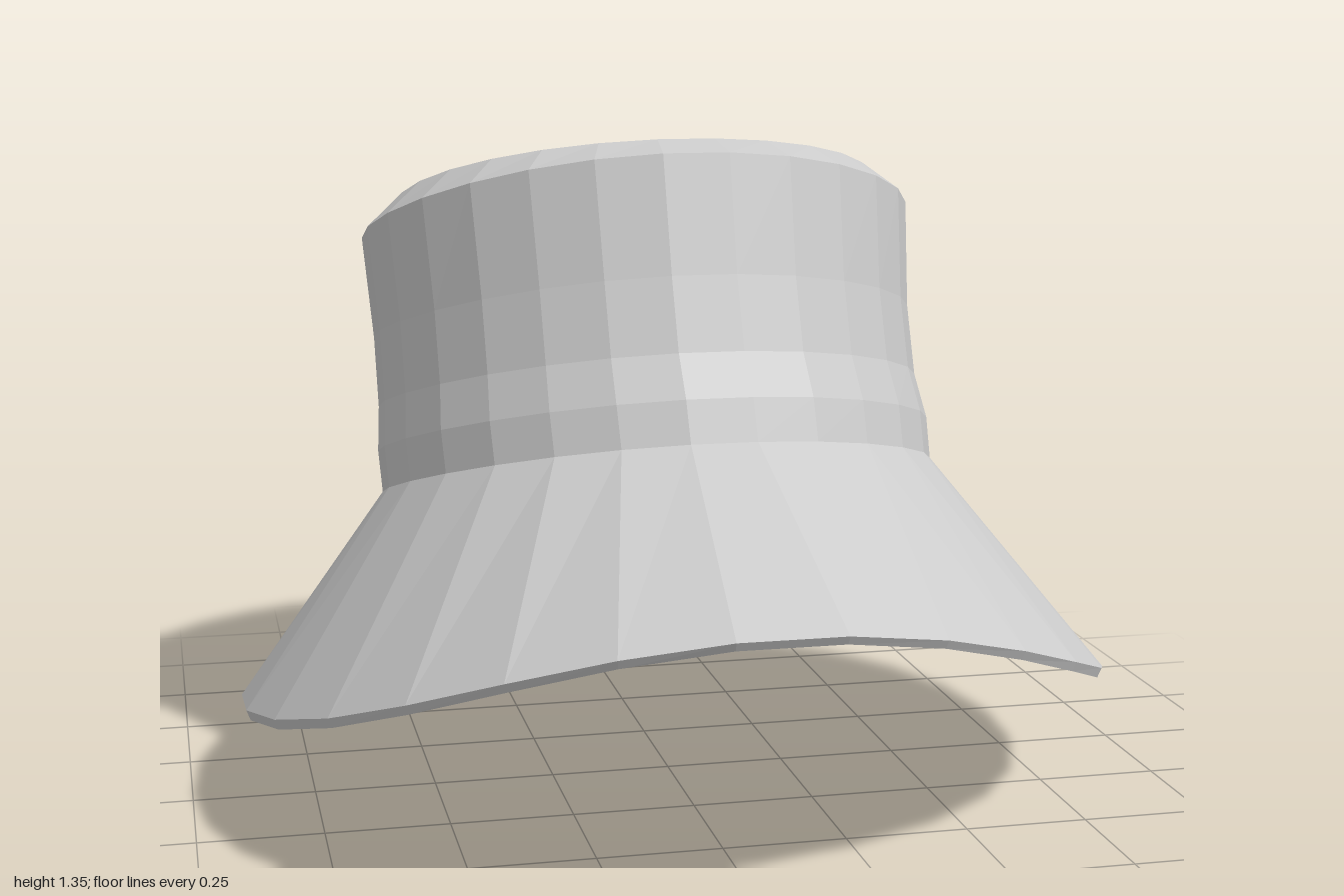
import * as THREE from 'three';

const SEGMENTS = 28;

// A tilted oval ring: front and back points as [z, y], left and right x,
// plus a bend (c² and c³ terms) that lets the sides droop.
function ring(front, back, xMin, xMax, droop = 0, twist = 0) {
  const cx = (xMin + xMax) / 2, rx = (xMax - xMin) / 2;
  const cz = (front[0] + back[0]) / 2, rz = (front[0] - back[0]) / 2;
  const cy = (front[1] + back[1]) / 2, ry = (front[1] - back[1]) / 2;
  const points = [];
  for (let i = 0; i < SEGMENTS; i++) {
    const a = ((i + 0.5) / SEGMENTS) * Math.PI * 2;
    const s = Math.sin(a) * 1.006, c = Math.cos(a) * 1.006;
    const y = cy + ry * c - droop * (1 - c * c) - twist * (c - c * c * c);
    points.push(new THREE.Vector3(cx + rx * s, y, cz + rz * c));
  }
  return points;
}

// Skin a list of rings, ordered from bottom to top for outward faces.
function loft(rings, capped = false) {
  const position = [], index = [];
  rings.forEach((r) => r.forEach((p) => position.push(p.x, p.y, p.z)));
  for (let j = 0; j < rings.length - 1; j++) {
    for (let i = 0; i < SEGMENTS; i++) {
      const k = (i + 1) % SEGMENTS;
      const a = j * SEGMENTS + i, b = j * SEGMENTS + k;
      index.push(a, b, b + SEGMENTS, a, b + SEGMENTS, a + SEGMENTS);
    }
  }
  if (capped) {
    const start = (rings.length - 1) * SEGMENTS;
    for (let i = 1; i < SEGMENTS - 1; i++) index.push(start, start + i, start + i + 1);
  }
  const geometry = new THREE.BufferGeometry();
  geometry.setAttribute('position', new THREE.Float32BufferAttribute(position, 3));
  geometry.setIndex(index);
  geometry.computeVertexNormals();
  return geometry;
}

export function createModel() {
  const hat = new THREE.Group();
  hat.name = 'bucketHat';
  const material = new THREE.MeshStandardMaterial({
    color: 0xcccccc, flatShading: true, side: THREE.DoubleSide,
  });
  const add = (name, geometry) => {
    const mesh = new THREE.Mesh(geometry, material);
    mesh.name = name;
    hat.add(mesh);
  };

  // Crown: band at the base, slight waist, sloping bevelled top
  add('crown', loft([
    ring([0.53, 0.82], [-0.72, 0.47], -0.58, 0.565, 0.02),
    ring([0.5, 0.9], [-0.745, 0.555], -0.585, 0.565, 0.02),
    ring([0.45, 0.98], [-0.77, 0.65], -0.578, 0.55, 0.02),
    ring([0.4, 1.12], [-0.815, 0.8], -0.58, 0.547, 0.025),
    ring([0.335, 1.345], [-0.875, 1.0], -0.595, 0.56, 0.03),
    ring([0.24, 1.365], [-0.8, 1.06], -0.52, 0.487),
  ], true));

  // Brim: underside, thin lip, then the flared top surface
  add('brim', loft([
    ring([0.52, 0.8], [-0.71, 0.46], -0.57, 0.555, 0.02),
    ring([0.99, 0.553], [-0.985, 0.01], -0.882, 0.882, 0.09, 0.12),
    ring([1, 0.57], [-1, 0.025], -0.89, 0.89, 0.085, 0.12),
    ring([0.53, 0.82], [-0.72, 0.47], -0.58, 0.565, 0.02),
  ]));

  return hat;
}
